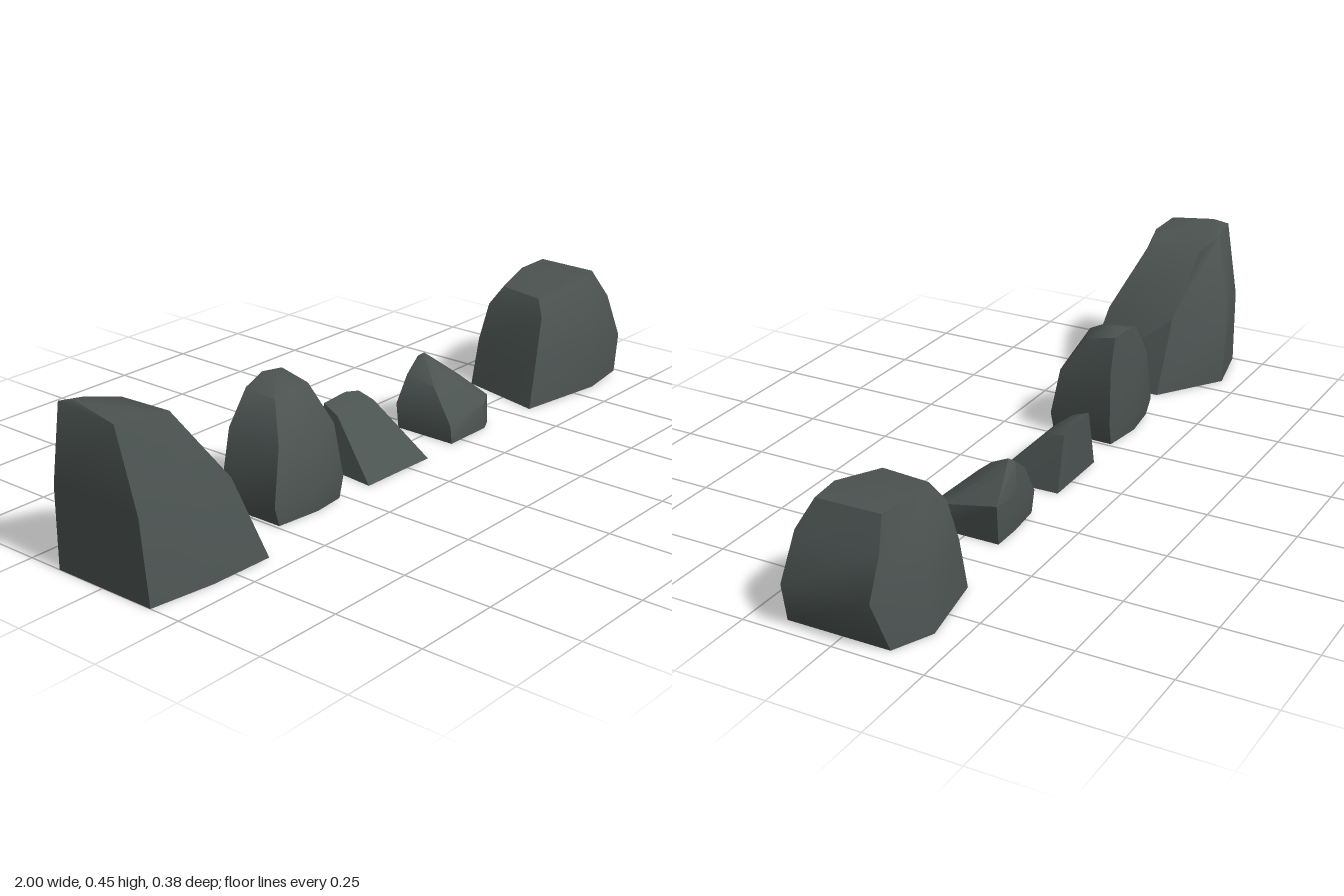
import * as THREE from 'three';
import { toCreasedNormals } from 'three/addons/utils/BufferGeometryUtils.js';

// A hollow, open-bottomed rock skinned over rings of corner points and closed by a tip.
// Ring order: back left, back, back right, front right, front, front left.
function rockGeometry(rings, tip) {
  const n = rings[0].length;
  const out = [];
  const tri = (a, b, c) => out.push(...a, ...b, ...c);
  for (let j = 0; j < rings.length; j++) {
    for (let i = 0; i < n; i++) {
      const k = (i + 1) % n;
      const a = rings[j][i], b = rings[j][k];
      if (j === rings.length - 1) {
        tri(a, tip, b);
      } else {
        const c = rings[j + 1][i], d = rings[j + 1][k];
        tri(a, c, b);
        tri(b, c, d);
      }
    }
  }
  const g = new THREE.BufferGeometry();
  g.setAttribute('position', new THREE.Float32BufferAttribute(out, 3));
  return toCreasedNormals(g, 0.8);
}

export function createModel() {
  const group = new THREE.Group();
  group.name = 'rocks';
  const stone = new THREE.MeshStandardMaterial({ color: 0x4b5351, side: THREE.DoubleSide });
  stone.name = 'dark slate';

  const addRock = (name, rings, tip) => {
    const mesh = new THREE.Mesh(rockGeometry(rings, tip), stone);
    mesh.name = name;
    group.add(mesh);
  };

  // Tall rock with a sheer outer wall
  addRock('tallRock', [
    [[-1, 0, -0.15], [-0.82, 0, -0.19], [-0.63, 0, -0.06], [-0.635, 0, 0.19], [-0.82, 0, 0.185], [-1, 0, 0.16]],
    [[-1, 0.22, -0.15], [-0.84, 0.22, -0.19], [-0.705, 0.22, -0.07], [-0.705, 0.22, 0.14], [-0.83, 0.22, 0.145], [-1, 0.22, 0.135]],
    [[-1, 0.44, -0.115], [-0.92, 0.425, -0.12], [-0.82, 0.4, -0.1], [-0.82, 0.405, 0.06], [-0.9, 0.42, 0.08], [-1, 0.43, 0.07]],
  ], [-0.99, 0.45, -0.07]);

  // Rounded upright rock
  addRock('uprightRock', [
    [[-0.49, 0, -0.09], [-0.38, 0, -0.105], [-0.26, 0, -0.09], [-0.265, 0, 0.095], [-0.36, 0, 0.105], [-0.49, 0, 0.09]],
    [[-0.5, 0.05, -0.1], [-0.38, 0.06, -0.11], [-0.25, 0.06, -0.09], [-0.255, 0.06, 0.1], [-0.36, 0.06, 0.11], [-0.5, 0.05, 0.085]],
    [[-0.465, 0.21, -0.1], [-0.38, 0.22, -0.11], [-0.25, 0.22, -0.09], [-0.255, 0.2, 0.07], [-0.35, 0.2, 0.09], [-0.465, 0.2, 0.07]],
    [[-0.41, 0.305, -0.09], [-0.34, 0.325, -0.1], [-0.275, 0.32, -0.09], [-0.275, 0.3, 0], [-0.34, 0.305, 0.02], [-0.41, 0.295, 0.01]],
  ], [-0.33, 0.332, -0.06]);

  // Low wedge rock, highest at its back
  addRock('wedgeRock', [
    [[-0.135, 0, -0.1], [-0.02, 0, -0.1], [0.08, 0, -0.1], [0.085, 0, 0.112], [-0.03, 0, 0.108], [-0.158, 0, 0.105]],
    [[-0.1, 0.165, -0.1], [-0.01, 0.17, -0.102], [0.045, 0.158, -0.1], [0.043, 0.145, -0.045], [-0.03, 0.14, -0.03], [-0.108, 0.143, -0.045]],
  ], [-0.03, 0.167, -0.085]);

  // Small peaked rock
  addRock('peakedRock', [
    [[0.207, 0, -0.09], [0.31, 0, -0.1], [0.4, 0, -0.1], [0.4, 0, 0.08], [0.36, 0, 0.1], [0.207, 0, 0.1]],
    [[0.21, 0.07, -0.1], [0.31, 0.1, -0.105], [0.414, 0.115, -0.104], [0.41, 0.08, 0.07], [0.36, 0.07, 0.095], [0.207, 0.05, 0.095]],
    [[0.245, 0.15, -0.09], [0.3, 0.19, -0.095], [0.35, 0.167, -0.09], [0.375, 0.135, -0.01], [0.31, 0.145, 0.01], [0.24, 0.138, 0.01]],
  ], [0.31, 0.2, -0.08]);

  // Broad rock with an overhanging outer side
  addRock('broadRock', [
    [[0.62, 0, -0.14], [0.84, 0, -0.18], [0.95, 0, -0.13], [0.965, 0.01, 0.145], [0.83, 0, 0.155], [0.56, 0, 0.115]],
    [[0.64, 0.14, -0.13], [0.84, 0.15, -0.165], [0.998, 0.14, -0.11], [0.99, 0.12, 0.14], [0.83, 0.12, 0.152], [0.608, 0.13, 0.1]],
    [[0.66, 0.25, -0.11], [0.83, 0.26, -0.13], [0.958, 0.25, -0.115], [0.95, 0.25, 0.12], [0.82, 0.25, 0.13], [0.652, 0.25, 0.085]],
    [[0.69, 0.303, -0.08], [0.82, 0.325, -0.105], [0.92, 0.33, -0.1], [0.92, 0.328, 0.08], [0.82, 0.322, 0.095], [0.67, 0.298, 0.06]],
  ], [0.84, 0.333, -0.02]);

  return group;
}
